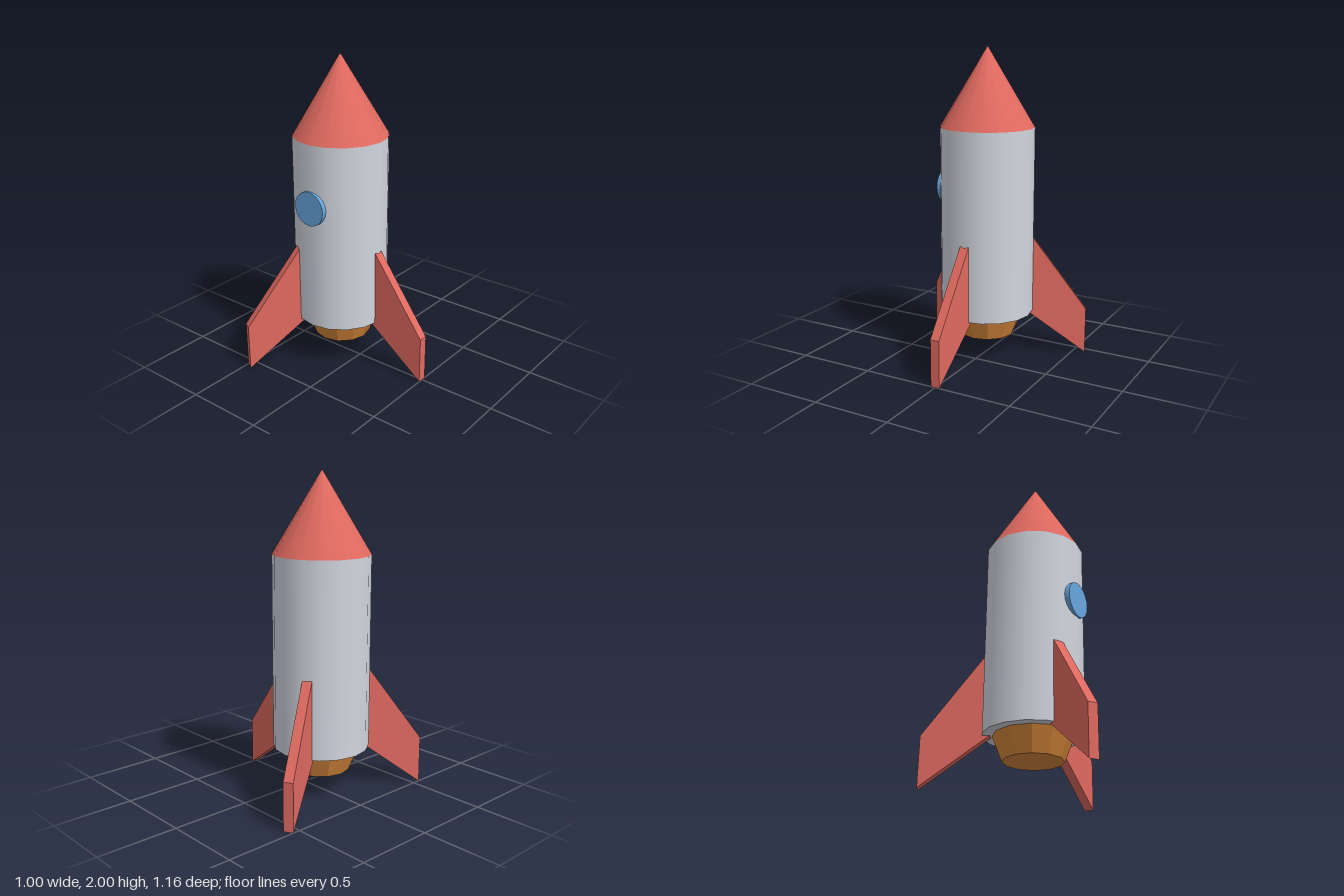
import * as THREE from 'three';

const material = (name, color, flatShading = false) => {
  const m = new THREE.MeshStandardMaterial({ color });
  m.name = name;
  m.flatShading = flatShading;
  return m;
};

export function createModel() {
  const red = material('red', 0xe06a60);
  const grey = material('light grey', 0xd2d6de);
  const blue = material('window blue', 0x68a8e0);
  const orange = material('nozzle orange', 0xd8883c, true);

  const model = new THREE.Group();
  model.name = 'rocket';
  const rocket = new THREE.Group();
  rocket.name = 'hull';
  rocket.position.x = -0.15; // the single fin on +x shifts the hull axis
  model.add(rocket);

  const add = (name, geometry, mat, x = 0, y = 0, z = 0) => {
    const mesh = new THREE.Mesh(geometry, mat);
    mesh.name = name;
    mesh.position.set(x, y, z);
    rocket.add(mesh);
    return mesh;
  };

  // Hull, nose cone and engine nozzle
  add('body', new THREE.CylinderGeometry(0.3, 0.3, 1.2, 16), grey, 0, 0.9, 0);
  add('noseCone', new THREE.ConeGeometry(0.3, 0.5, 16), red, 0, 1.75, 0);
  add('nozzle', new THREE.CylinderGeometry(0.24, 0.18, 0.15, 12), orange, 0, 0.225, 0);

  // Round window set into the front of the hull
  const porthole = new THREE.CylinderGeometry(0.11, 0.11, 0.06, 20).rotateX(Math.PI / 2);
  add('window', porthole, blue, 0, 1.1, 0.28);

  // Three swept fins, 120 degrees apart
  const outline = new THREE.Shape([
    new THREE.Vector2(0.25, 0.3),
    new THREE.Vector2(0.65, 0),
    new THREE.Vector2(0.65, 0.3),
    new THREE.Vector2(0.25, 0.85),
  ]);
  const finGeometry = new THREE.ExtrudeGeometry(outline, { depth: 0.06, bevelEnabled: false });
  finGeometry.translate(0, 0, -0.03);
  for (let i = 0; i < 3; i++) {
    add(`fin${i + 1}`, finGeometry, red).rotation.y = (i * Math.PI * 2) / 3;
  }

  return model;
}
